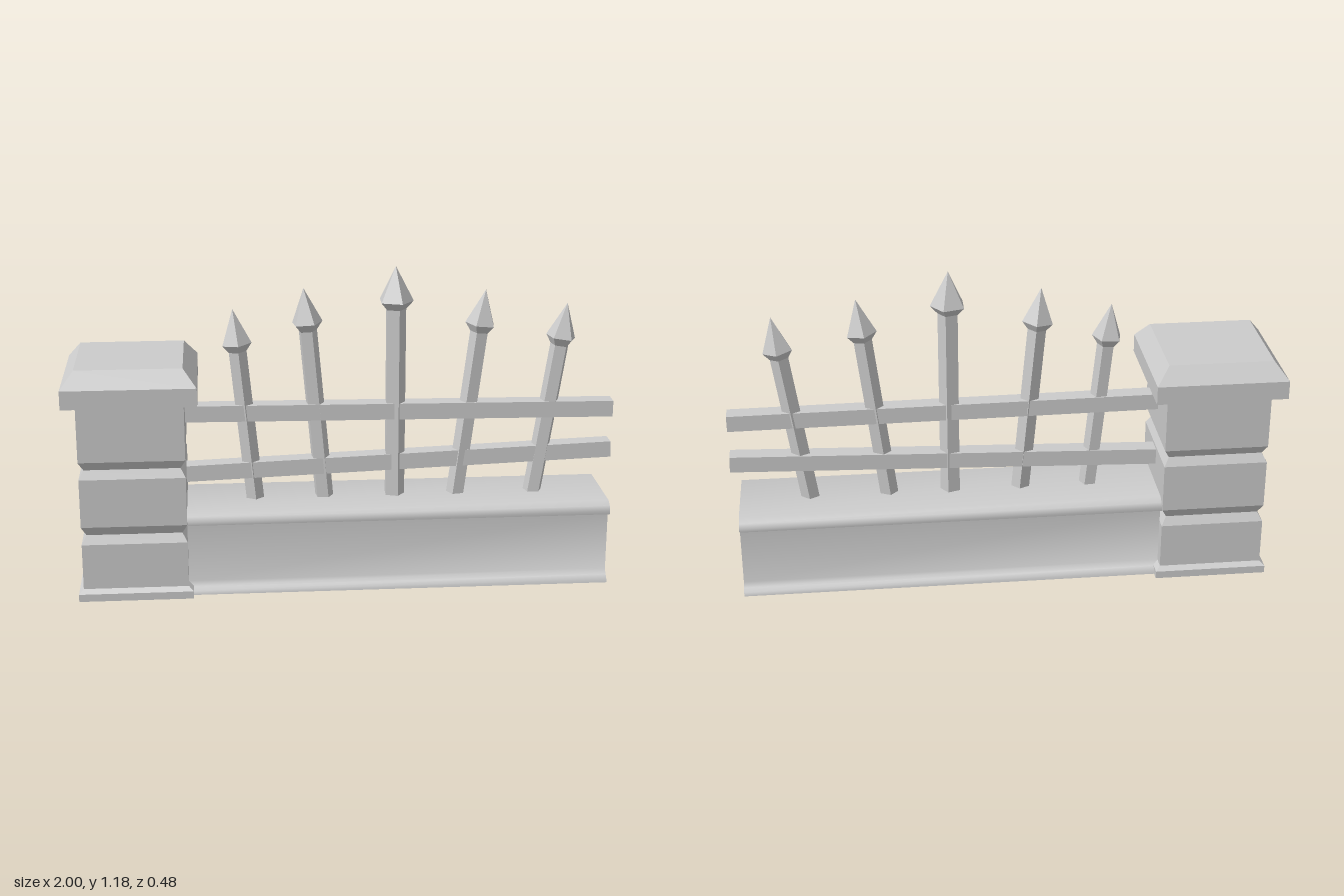
import * as THREE from 'three';
import { toCreasedNormals } from 'three/addons/utils/BufferGeometryUtils.js';

const solid = new THREE.MeshStandardMaterial({ color: 0xcccccc, flatShading: true });
const shell = new THREE.MeshStandardMaterial({ color: 0xcccccc, flatShading: true, side: THREE.DoubleSide });
const smoothShell = new THREE.MeshStandardMaterial({ color: 0xcccccc, side: THREE.DoubleSide });

function addMesh(parent, name, geometry, material) {
  const mesh = new THREE.Mesh(geometry, material);
  mesh.name = name;
  parent.add(mesh);
  return mesh;
}

// Sweep a [z, y] profile along x as an open-ended sheet
function sweepX(profile, x0, x1) {
  const pos = [];
  for (let i = 0; i < profile.length - 1; i++) {
    const [z0, y0] = profile[i], [z1, y1] = profile[i + 1];
    pos.push(x0, y0, z0, x1, y0, z0, x1, y1, z1);
    pos.push(x0, y0, z0, x1, y1, z1, x0, y1, z1);
  }
  const g = new THREE.BufferGeometry();
  g.setAttribute('position', new THREE.Float32BufferAttribute(pos, 3));
  return toCreasedNormals(g, 0.75);
}

const lathe = (pts, sides, start = 0) =>
  new THREE.LatheGeometry(pts.map(([r, y]) => new THREE.Vector2(r, y)), sides, start);

// Hollow square pillar with base, two grooves and a bevelled cap
function addPillar(parent) {
  const halfWidths = [
    [0.185, 0], [0.207, 0], [0.207, 0.028], [0.19, 0.043],
    [0.19, 0.213], [0.172, 0.245], [0.19, 0.28],
    [0.19, 0.46], [0.172, 0.492], [0.19, 0.525],
    [0.19, 0.737], [0.238, 0.737], [0.238, 0.805], [0.19, 0.866], [0, 0.866],
  ];
  const pts = halfWidths.map(([h, y]) => [h * Math.SQRT2, y]);
  addMesh(parent, 'pillar', lathe(pts, 4, Math.PI / 4), shell).position.x = -0.764;
}

// Low wall: open sheet with flared foot and rounded overhanging top
function addWall(parent) {
  const front = [
    [0.175, 0], [0.172, 0.014], [0.158, 0.026], [0.143, 0.043],
    [0.143, 0.262], [0.174, 0.27], [0.176, 0.284], [0.168, 0.302], [0.145, 0.315],
  ];
  const back = front.map(([z, y]) => [-z, y]).reverse();
  addMesh(parent, 'lowWall', sweepX([...front, ...back], -0.575, 0.973), smoothShell);
}

// Hollow square rail between two points
function addRail(parent, name, from, to) {
  const a = new THREE.Vector3(...from), b = new THREE.Vector3(...to);
  const dir = b.clone().sub(a), half = dir.length() / 2;
  const z = 0.032, y = 0.03;
  const square = [[z, -y], [z, y], [-z, y], [-z, -y], [z, -y]];
  const rail = addMesh(parent, name, sweepX(square, -half, half), shell);
  rail.position.copy(a).add(b).multiplyScalar(0.5);
  rail.quaternion.setFromUnitVectors(new THREE.Vector3(1, 0, 0), dir.normalize());
}

// Five-sided bar with a spear head, leaning from its foot to its tip
function addPicket(parent, { foot, tip, bar, head, twist }) {
  const a = new THREE.Vector3(foot[0], foot[1], 0.004);
  const dir = new THREE.Vector3(tip[0], tip[1], 0.005).sub(a);
  const len = dir.length();
  const picket = new THREE.Group();
  picket.name = 'picket';
  addMesh(picket, 'bar', lathe([[0, 0], [bar, 0], [bar, len - 0.155]], 5, twist), solid);
  addMesh(picket, 'spearHead',
    lathe([[0, len - 0.157], [bar, len - 0.157], [head, len - 0.128], [0, len]], 5, twist), solid);
  picket.position.copy(a);
  picket.quaternion.setFromUnitVectors(new THREE.Vector3(0, 1, 0), dir.normalize());
  parent.add(picket);
}

export function createModel() {
  const model = new THREE.Group();
  model.name = 'fenceSection';
  addPillar(model);
  addWall(model);
  addRail(model, 'upperRail', [-0.58, 0.648, 0.003], [0.999, 0.634, 0.006]);
  addRail(model, 'lowerRail', [-0.58, 0.42, 0.005], [0.999, 0.474, -0.003]);
  [
    { foot: [-0.316, 0.23], tip: [-0.395, 1.03], bar: 0.034, head: 0.056, twist: 0.1 },
    { foot: [-0.061, 0.23], tip: [-0.14, 1.102], bar: 0.035, head: 0.058, twist: 0.45 },
    { foot: [0.192, 0.215], tip: [0.192, 1.177], bar: 0.039, head: 0.066, twist: 0.3 },
    { foot: [0.414, 0.23], tip: [0.52, 1.085], bar: 0.035, head: 0.057, twist: 0.8 },
    { foot: [0.704, 0.25], tip: [0.82, 1.03], bar: 0.035, head: 0.056, twist: 0.55 },
  ].forEach((p) => addPicket(model, p));
  return model;
}
